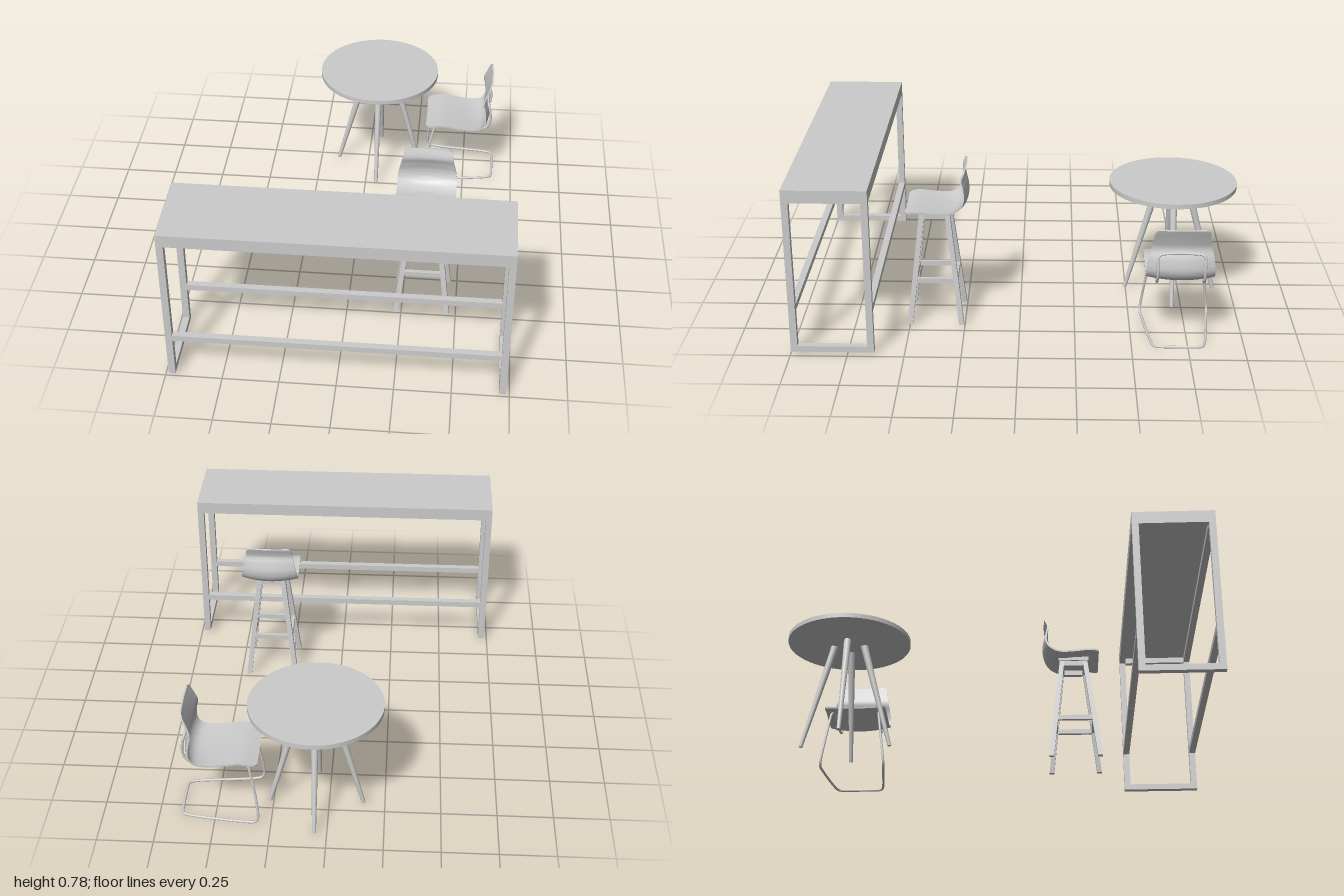
import * as THREE from 'three';
import { toCreasedNormals } from 'three/addons/utils/BufferGeometryUtils.js';

const material = new THREE.MeshStandardMaterial({ color: 0xcccccc });

function add(parent, name, geometry, x = 0, y = 0, z = 0) {
  const mesh = new THREE.Mesh(geometry, material);
  mesh.name = name;
  mesh.position.set(x, y, z);
  parent.add(mesh);
  return mesh;
}

function group(parent, name, x, z) {
  const g = new THREE.Group();
  g.name = name;
  g.position.set(x, 0, z);
  parent.add(g);
  return g;
}

// box given by its limits
function block(parent, name, x0, x1, y0, y1, z0, z1) {
  return add(parent, name, new THREE.BoxGeometry(x1 - x0, y1 - y0, z1 - z0),
    (x0 + x1) / 2, (y0 + y1) / 2, (z0 + z1) / 2);
}

// square leg sheared from a bottom centre to a top centre, with level ends
function slantedLeg(bottom, top, size) {
  const geo = new THREE.BoxGeometry(size, 1, size);
  const p = geo.attributes.position;
  for (let i = 0; i < p.count; i++) {
    const end = p.getY(i) > 0 ? top : bottom;
    p.setXYZ(i, p.getX(i) + end[0], end[1], p.getZ(i) + end[2]);
  }
  geo.computeVertexNormals();
  return geo;
}

// moulded seat and back: a [z, y] side profile swept with a dished cross-section
function seatShell(profile, halfWidth, thickness) {
  const curve = new THREE.SplineCurve(profile.map(([z, y]) => new THREE.Vector2(z, y)));
  const rows = 56, cols = 16, ring = 2 * (cols + 1);
  const pos = [], idx = [];
  for (let i = 0; i <= rows; i++) {
    const t = i / rows;
    const c = curve.getPointAt(t), d = curve.getTangentAt(t);
    const nz = d.y, ny = -d.x;
    // taper towards the top of the back, with rounded corners at both ends
    const taper = 1 - 0.2 * THREE.MathUtils.smoothstep(t, 0.6, 1);
    const k = Math.max(0, 1 - Math.min(t, 1 - t) / 0.06);
    const w = halfWidth * taper * (1 - 0.13 * (1 - Math.sqrt(1 - k * k)));
    const dish = 0.004 + 0.016 * Math.exp(-(((t - 0.6) / 0.2) ** 2));
    for (let j = 0; j < ring; j++) {
      const top = j <= cols;
      const s = ((top ? j : ring - 1 - j) / cols) * 2 - 1;
      const lift = dish * s * s - (top ? 0 : thickness);
      pos.push(s * w, c.y + ny * lift, c.x + nz * lift);
    }
  }
  for (let i = 0; i < rows; i++) {
    for (let j = 0; j < ring; j++) {
      const a = i * ring + j, b = i * ring + (j + 1) % ring;
      idx.push(a, b, a + ring, b, b + ring, a + ring);
    }
  }
  // front and top edges
  const last = rows * ring;
  for (let j = 0; j < cols; j++) {
    const u = ring - 1 - j;
    idx.push(u, u - 1, j + 1, u, j + 1, j);
    idx.push(last + u, last + j + 1, last + u - 1, last + u, last + j, last + j + 1);
  }
  const geo = new THREE.BufferGeometry();
  geo.setAttribute('position', new THREE.Float32BufferAttribute(pos, 3));
  geo.setIndex(idx);
  return toCreasedNormals(geo, 0.8);
}

function buildBarTable(parent) {
  const g = group(parent, 'barTable', 0, 0.815);
  const X = 0.735, Z = 0.183, s = 0.03;
  block(g, 'tableTop', -X, X, 0.745, 0.775, -Z, Z);
  for (const side of [-1, 1]) {
    // rim below the top
    const zc = side * (Z - s / 2), xc = side * (X - s / 2);
    block(g, 'longRim', -X, X, 0.717, 0.745, zc - s / 2, zc + s / 2);
    block(g, 'shortRim', xc - s / 2, xc + s / 2, 0.717, 0.745, -Z + s, Z - s);
    // end frames and long rails
    block(g, 'footBar', xc - s / 2, xc + s / 2, 0.01, 0.038, -Z + s, Z - s);
    for (const end of [-1, 1]) {
      const lx = end * (X - s / 2);
      block(g, 'leg', lx - s / 2, lx + s / 2, 0.01, 0.717, zc - s / 2, zc + s / 2);
    }
    block(g, 'footRail', -X + s, X - s, 0.202, 0.23, zc - s / 2, zc + s / 2);
  }
}

function buildRoundTable(parent) {
  const g = group(parent, 'roundTable', 0.055, -0.705);
  add(g, 'tableTop', new THREE.CylinderGeometry(0.295, 0.295, 0.022, 72), 0, 0.552, 0);
  add(g, 'mountingPlate', new THREE.CylinderGeometry(0.11, 0.075, 0.013, 48), 0, 0.5345, 0);
  // four tapered, splayed legs
  for (let i = 0; i < 4; i++) {
    const a = i * Math.PI / 2;
    const bottom = new THREE.Vector3(Math.cos(a) * 0.21, 0.01, Math.sin(a) * 0.21);
    const top = new THREE.Vector3(Math.cos(a) * 0.07, 0.535, Math.sin(a) * 0.07);
    const dir = top.clone().sub(bottom);
    const leg = add(g, 'leg', new THREE.CylinderGeometry(0.018, 0.009, dir.length(), 20));
    leg.position.copy(bottom).add(top).multiplyScalar(0.5);
    leg.quaternion.setFromUnitVectors(new THREE.Vector3(0, 1, 0), dir.normalize());
  }
}

function buildBarStool(parent) {
  const g = group(parent, 'barStool', 0.342, 0.381);
  add(g, 'seatShell', seatShell([
    [0.125, 0.558], [0.08, 0.566], [0, 0.558], [-0.075, 0.552], [-0.128, 0.575],
    [-0.146, 0.62], [-0.136, 0.67], [-0.125, 0.705], [-0.138, 0.75],
  ], 0.134, 0.008));
  block(g, 'seatSupport', -0.075, 0.075, 0.535, 0.553, -0.075, 0.075);
  const low = 0.117, high = 0.057, s = 0.023;
  const rung = low + (high - low) * 0.41;
  for (const a of [-1, 1]) {
    for (const b of [-1, 1]) {
      add(g, 'leg', slantedLeg([a * low, 0.01, b * low], [a * high, 0.535, b * high], s));
    }
    // top frame and footrests
    add(g, 'topFrameSide', new THREE.BoxGeometry(s, 0.025, 2 * high + s), a * high, 0.522, 0);
    add(g, 'topFrameCross', new THREE.BoxGeometry(2 * high, 0.025, s), 0, 0.522, a * high);
    add(g, 'sideRung', new THREE.BoxGeometry(0.018, 0.023, 2 * rung), a * rung, 0.219, 0);
    add(g, 'crossRung', new THREE.BoxGeometry(2 * rung, 0.023, 0.018), 0, 0.219, a * rung);
  }
}

function buildCantileverChair(parent) {
  const g = group(parent, 'cantileverChair', 0, -0.708);
  g.rotation.y = -Math.PI / 2;
  add(g, 'seatShell', seatShell([
    [-0.302, 0.318], [-0.375, 0.33], [-0.455, 0.319], [-0.535, 0.306], [-0.588, 0.314],
    [-0.615, 0.354], [-0.61, 0.41], [-0.594, 0.46], [-0.604, 0.505], [-0.624, 0.56],
  ], 0.15, 0.008));
  // half of the bent tube as [back, up, side], mirrored into one closed loop
  const half = [
    [0.648, 0.006, 0.085], [0.645, 0.006, 0.102], [0.63, 0.006, 0.113],
    [0.345, 0.006, 0.15], [0.318, 0.012, 0.154], [0.306, 0.035, 0.153],
    [0.336, 0.265, 0.122], [0.346, 0.298, 0.118], [0.37, 0.314, 0.114],
    [0.45, 0.308, 0.107], [0.535, 0.294, 0.104], [0.59, 0.298, 0.103],
    [0.618, 0.322, 0.103], [0.628, 0.36, 0.103], [0.621, 0.42, 0.103],
    [0.617, 0.435, 0.098], [0.614, 0.441, 0.085],
  ];
  const right = half.map(([b, y, x]) => new THREE.Vector3(x, y, -b));
  const left = half.map(([b, y, x]) => new THREE.Vector3(-x, y, -b)).reverse();
  const path = new THREE.CatmullRomCurve3([...right, ...left], true, 'centripetal');
  add(g, 'tubeFrame', new THREE.TubeGeometry(path, 260, 0.006, 10, true));
}

export function createModel() {
  const model = new THREE.Group();
  model.name = 'tablesAndChairs';
  buildBarTable(model);
  buildRoundTable(model);
  buildBarStool(model);
  buildCantileverChair(model);
  return model;
}
